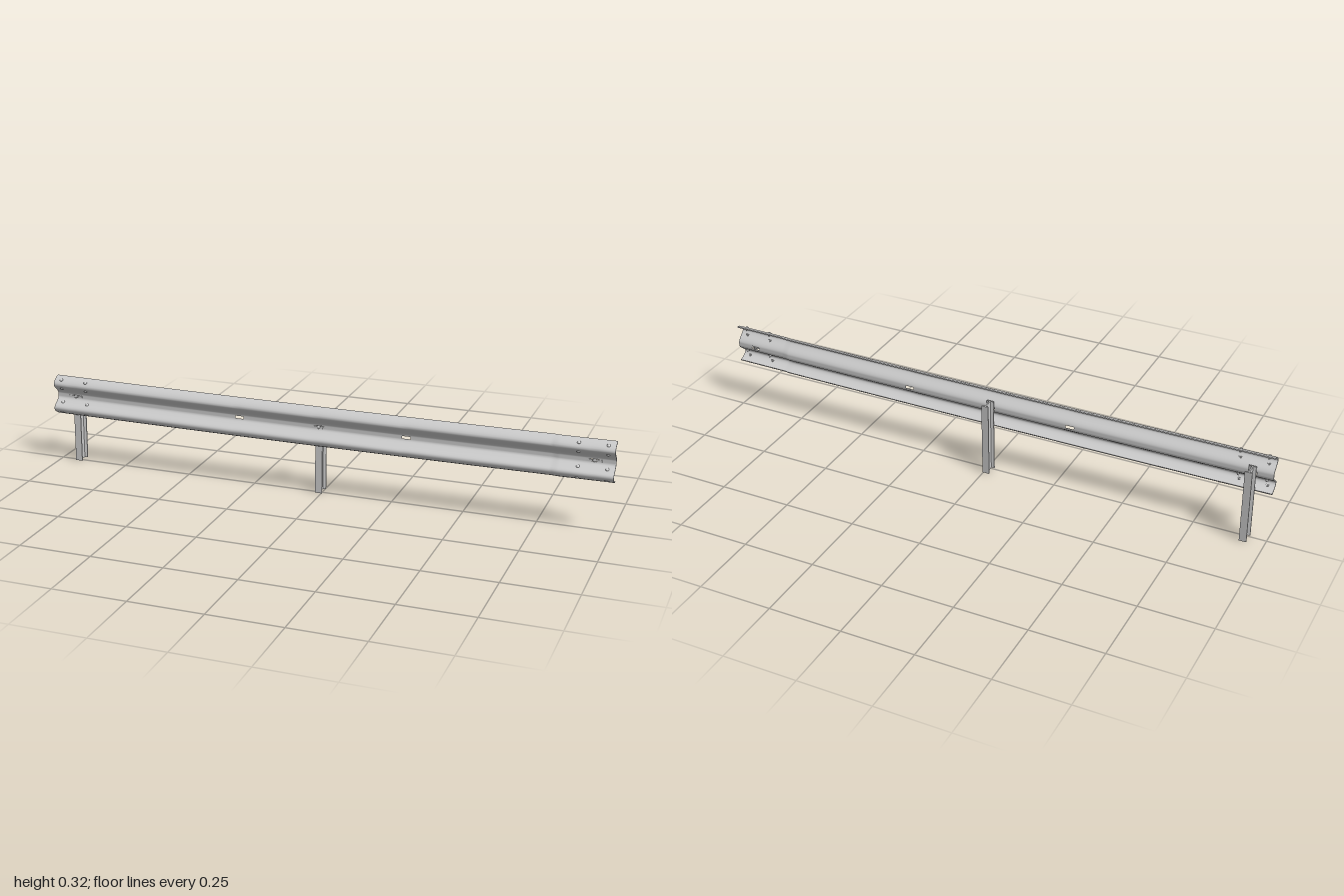
import * as THREE from 'three';

const steel = new THREE.MeshStandardMaterial({ color: 0xcccccc });
const HALF = 18;

// Corrugated section, listed as (z, y) from the top edge to the bottom edge
const upper = [[0.002, 0.311], [0.012, 0.309], [0.026, 0.301], [0.036, 0.288], [0.030, 0.277], [0.014, 0.262], [0.007, 0.252], [0.006, 0.246]];
const lower = [[0.006, 0.237], [0.009, 0.229], [0.022, 0.218], [0.037, 0.207], [0.040, 0.198], [0.033, 0.188], [0.018, 0.179], [0.007, 0.174]];
const sample = (pts) => new THREE.SplineCurve(pts.map(([z, y]) => new THREE.Vector2(z, y))).getPoints(HALF);
const section = [...sample(upper), ...sample(lower)];
const normals = section.map((p, j) => {
  const a = section[Math.max(j - 1, 0)], b = section[Math.min(j + 1, section.length - 1)];
  return new THREE.Vector2(a.y - b.y, b.x - a.x).normalize();
});

// Slight sag along the length, and a forward step where the next rail laps
const sag = (x) => 0.004 * x * x - 0.002;
const lap = (x) => 0.003 * THREE.MathUtils.smoothstep(x, 0.79, 0.82);
const slots = [-0.93, -0.3, -0.01, 0.3, 0.93];

function beamGeometry() {
  const xs = [-0.75, -0.5, -0.15, 0.15, 0.5, 0.65, 0.79, 0.8, 0.81, 0.82, -1, 1];
  slots.forEach((s) => xs.push(s - 0.015, s + 0.015));
  xs.sort((a, b) => a - b);
  const pos = [], index = [], n = section.length, m = xs.length, t = 0.0022;
  for (const side of [1, -1]) {
    for (const x of xs) section.forEach((p, j) => pos.push(
      x, p.y + normals[j].y * t * side + sag(x), p.x + normals[j].x * t * side + lap(x)));
  }
  const F = (i, j) => i * n + j, B = (i, j) => (m + i) * n + j;
  const quad = (a, b, c, d) => index.push(a, b, c, a, c, d);
  // Separate vertices for rims keep the edges sharp
  const rim = (...ids) => {
    const start = pos.length / 3;
    ids.forEach((k) => pos.push(pos[k * 3], pos[k * 3 + 1], pos[k * 3 + 2]));
    quad(start, start + 1, start + 2, start + 3);
  };
  const slotRow = HALF;
  for (let i = 0; i < m - 1; i++) {
    const mid = (xs[i] + xs[i + 1]) / 2;
    const open = slots.some((s) => Math.abs(s - mid) < 0.01);
    for (let j = 0; j < n - 1; j++) {
      if (open && j === slotRow) {
        rim(F(i, j), F(i + 1, j), B(i + 1, j), B(i, j));
        rim(F(i + 1, j + 1), F(i, j + 1), B(i, j + 1), B(i + 1, j + 1));
        rim(F(i, j + 1), F(i, j), B(i, j), B(i, j + 1));
        rim(F(i + 1, j), F(i + 1, j + 1), B(i + 1, j + 1), B(i + 1, j));
        continue;
      }
      quad(F(i, j), F(i, j + 1), F(i + 1, j + 1), F(i + 1, j));
      quad(B(i, j), B(i + 1, j), B(i + 1, j + 1), B(i, j + 1));
    }
    rim(F(i, 0), F(i + 1, 0), B(i + 1, 0), B(i, 0));
    rim(F(i + 1, n - 1), F(i, n - 1), B(i, n - 1), B(i + 1, n - 1));
  }
  for (let j = 0; j < n - 1; j++) {
    rim(F(0, j), B(0, j), B(0, j + 1), F(0, j + 1));
    rim(F(m - 1, j), F(m - 1, j + 1), B(m - 1, j + 1), B(m - 1, j));
  }
  const g = new THREE.BufferGeometry();
  g.setAttribute('position', new THREE.Float32BufferAttribute(pos, 3));
  g.setIndex(index);
  g.computeVertexNormals();
  return g;
}

function addMesh(parent, name, geometry, x = 0, y = 0, z = 0) {
  const mesh = new THREE.Mesh(geometry, steel);
  mesh.name = name;
  mesh.position.set(x, y, z);
  parent.add(mesh);
  return mesh;
}

// Bolt with its axis along local y: domed head, shank and hexagonal nut
function makeBolt(name) {
  const bolt = new THREE.Group();
  bolt.name = name;
  const dome = new THREE.SphereGeometry(0.006, 12, 5, 0, Math.PI * 2, 0, Math.PI / 2).scale(1, 0.6, 1);
  addMesh(bolt, 'boltHead', dome, 0, 0.002, 0);
  addMesh(bolt, 'boltShank', new THREE.CylinderGeometry(0.0025, 0.0025, 0.013, 8), 0, -0.004, 0);
  addMesh(bolt, 'boltNut', new THREE.CylinderGeometry(0.0055, 0.0055, 0.004, 6), 0, -0.0045, 0);
  return bolt;
}

// I-section post, leaning slightly backwards
function makePost(x) {
  const w = 0.0125, d = 0.0225, f = 0.004, web = 0.0022;
  const half = [[-w, -d], [w, -d], [w, -d + f], [web, -d + f + 0.002], [web, d - f - 0.002], [w, d - f]];
  const outline = [...half, [w, d], [-w, d], [-w, d - f], [-web, d - f - 0.002], [-web, -d + f + 0.002], [-w, -d + f]];
  const shape = new THREE.Shape(outline.map(([a, b]) => new THREE.Vector2(a, b)));
  const g = new THREE.ExtrudeGeometry(shape, { depth: 0.269, bevelEnabled: false }).rotateX(-Math.PI / 2);
  // Shear rather than turn, so the foot stays flat on the ground
  const p = g.attributes.position;
  for (let i = 0; i < p.count; i++) p.setZ(i, p.getZ(i) - 0.03 * p.getY(i));
  g.computeVertexNormals();
  const post = new THREE.Group();
  post.name = 'post';
  addMesh(post, 'postSection', g, x, 0, -0.012);
  return post;
}

export function createModel() {
  const model = new THREE.Group();
  model.name = 'guardRail';
  addMesh(model, 'corrugatedBeam', beamGeometry());
  [-0.93, -0.01].forEach((x) => model.add(makePost(x)));

  // Splice bolts on the sloping faces at both ends
  for (const x of [-0.975, -0.88, 0.88, 0.975]) {
    for (const y of [0.303, 0.271, 0.219, 0.187]) {
      let k = 0;
      section.forEach((p, j) => { if (Math.abs(p.y - y) < Math.abs(section[k].y - y)) k = j; });
      const bolt = makeBolt('spliceBolt');
      bolt.position.set(x, section[k].y + sag(x), section[k].x + lap(x));
      bolt.quaternion.setFromUnitVectors(new THREE.Vector3(0, 1, 0), new THREE.Vector3(0, normals[k].y, normals[k].x));
      model.add(bolt);
    }
  }

  // Mounting bolts with long washers in the valley
  for (const x of [-0.93, -0.01, 0.93]) {
    const y = 0.2415 + sag(x), z = 0.009 + lap(x);
    addMesh(model, 'washer', new THREE.BoxGeometry(0.05, 0.007, 0.002), x, y, z);
    const bolt = makeBolt('mountingBolt');
    bolt.position.set(x, y, z - 0.002);
    bolt.rotation.x = Math.PI / 2;
    model.add(bolt);
  }
  return model;
}
